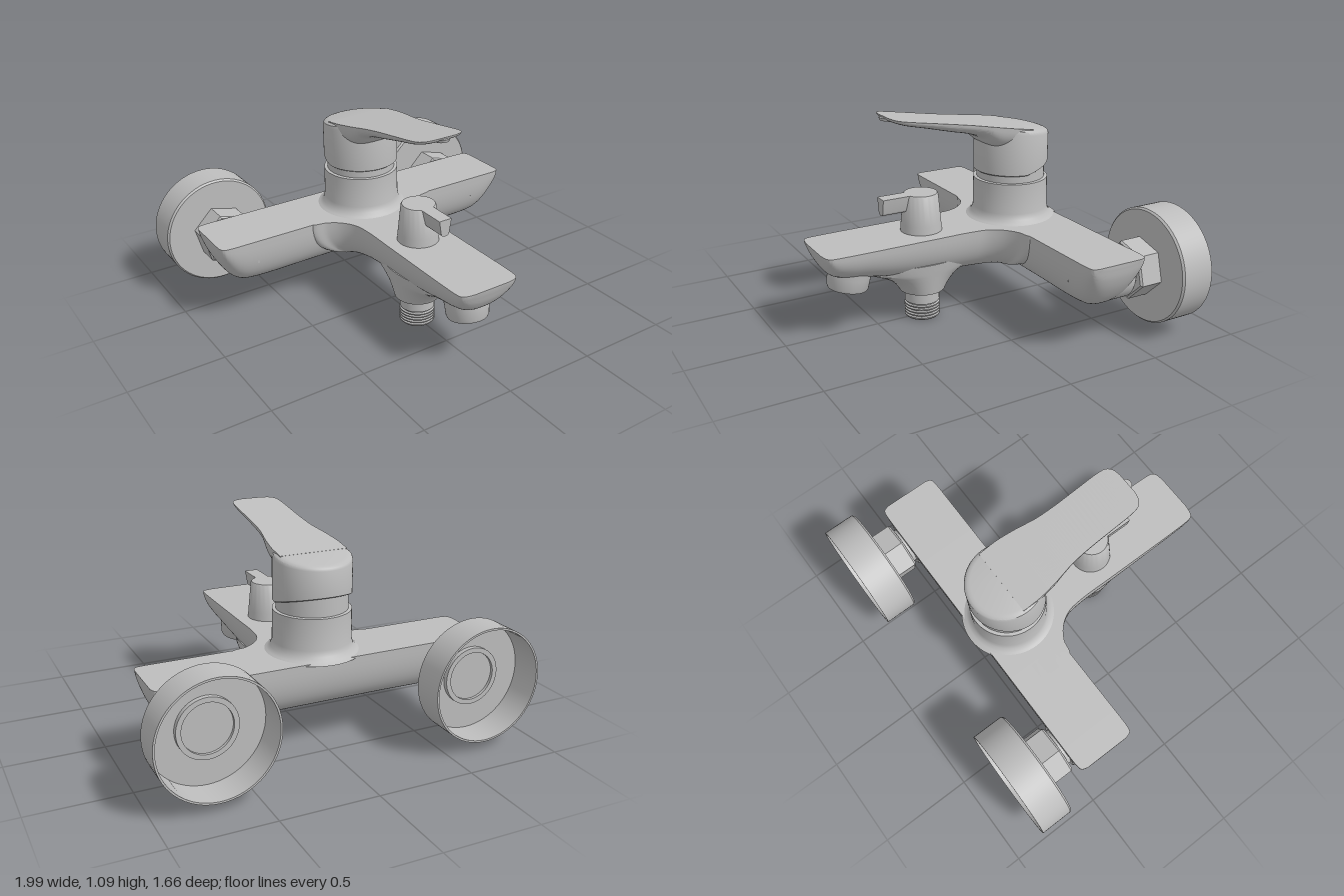
import * as THREE from 'three';
import { toCreasedNormals } from 'three/addons/utils/BufferGeometryUtils.js';

const chrome = new THREE.MeshStandardMaterial({ color: 0xbdbdbd });
chrome.name = 'satin grey metal';

// Turn a closed geometry's faces outward and keep only its sharp edges creased.
function solid(geometry, crease = 0.6) {
  const g = geometry.index ? geometry.toNonIndexed() : geometry;
  const p = g.attributes.position;
  const [a, b, c] = [new THREE.Vector3(), new THREE.Vector3(), new THREE.Vector3()];
  let volume = 0;
  for (let i = 0; i < p.count; i += 3) {
    a.fromBufferAttribute(p, i);
    b.fromBufferAttribute(p, i + 1);
    c.fromBufferAttribute(p, i + 2);
    volume += a.dot(b.cross(c));
  }
  if (volume < 0) {
    for (let i = 0; i < p.count; i += 3) {
      b.fromBufferAttribute(p, i + 1);
      c.fromBufferAttribute(p, i + 2);
      p.setXYZ(i + 1, c.x, c.y, c.z);
      p.setXYZ(i + 2, b.x, b.y, b.z);
    }
  }
  return toCreasedNormals(g, crease);
}

function lathe(profile, segments = 48) {
  return new THREE.LatheGeometry(profile.map(([r, y]) => new THREE.Vector2(r, y)), segments);
}

// Loft flat-topped, round-bellied sections. Keys are [station, half width, bottom y].
function loft(keys, topAt, exponent, place, steps = 60, n = 28) {
  const curve = new THREE.CatmullRomCurve3(keys.map((k) => new THREE.Vector3(...k)));
  const stations = curve.getPoints(steps);
  const pos = [], idx = [], ring = n + 1;
  for (const { x: s, y: w, z: bottom } of stations) {
    const top = topAt(s);
    for (let i = 0; i <= n; i++) {
      const t = Math.PI * i / n, c = Math.cos(t);
      const u = Math.sign(c) * Math.pow(Math.abs(c), 2 / exponent) * w;
      const v = top - (top - bottom) * Math.pow(Math.max(0, Math.sin(t)), 2 / exponent);
      pos.push(...place(s, u, v));
    }
  }
  for (let j = 0; j < steps; j++) {
    for (let i = 0; i < ring; i++) {
      const k = (i + 1) % ring, a = j * ring, b = a + ring;
      idx.push(a + i, a + k, b + k, a + i, b + k, b + i);
    }
  }
  for (let i = 1; i < n; i++) {
    const e = steps * ring;
    idx.push(0, i + 1, i, e, e + i, e + i + 1);
  }
  const g = new THREE.BufferGeometry();
  g.setAttribute('position', new THREE.Float32BufferAttribute(pos, 3));
  g.setIndex(idx);
  return solid(g, 0.7);
}

export function createModel() {
  const model = new THREE.Group();
  const add = (name, geometry, x = 0, y = 0, z = 0, parent = model) => {
    const mesh = new THREE.Mesh(geometry, chrome);
    mesh.name = name;
    mesh.position.set(x, y, z);
    parent.add(mesh);
    return mesh;
  };
  const flatTop = () => 0.478;

  // Crossbar with upswept ends
  const end = [[0.68, 0.163, 0.213], [0.75, 0.163, 0.225], [0.8, 0.163, 0.258],
    [0.85, 0.161, 0.33], [0.878, 0.153, 0.4], [0.89, 0.125, 0.465]];
  const barKeys = [...end.map(([x, w, b]) => [-x, w, b]).reverse(),
    [-0.3, 0.163, 0.213], [0.3, 0.163, 0.213], ...end];
  add('crossbar', loft(barKeys, flatTop, 2.5, (s, u, v) => [s, v, u - 0.347], 80));

  // Spout, flaring where it joins the crossbar
  add('spout', loft([
    [-0.38, 0.4, 0.225], [-0.19, 0.38, 0.235], [-0.165, 0.3, 0.236], [-0.12, 0.235, 0.236],
    [-0.05, 0.19, 0.235], [0.04, 0.176, 0.238], [0.24, 0.175, 0.25], [0.4, 0.175, 0.268],
    [0.5, 0.175, 0.283], [0.6, 0.175, 0.303], [0.7, 0.174, 0.32], [0.77, 0.172, 0.347],
    [0.805, 0.166, 0.395], [0.822, 0.145, 0.44], [0.83, 0.1, 0.468],
  ], flatTop, 2.3, (s, u, v) => [u, v, s], 90));

  // Flared boss under the spout, kept within the spout's width
  const boss = lathe([[0, 0.155], [0.12, 0.155], [0.13, 0.172], [0.155, 0.205], [0.19, 0.235],
    [0.24, 0.262], [0.3, 0.285], [0.3, 0.33], [0, 0.33]]);
  const bp = boss.attributes.position;
  for (let i = 0; i < bp.count; i++) {
    const y = bp.getY(i), r = Math.hypot(bp.getX(i), bp.getZ(i));
    const limit = 0.12 + 0.17 * (y - 0.155);
    if (r > limit) bp.setX(i, bp.getX(i) * limit / r);
  }
  add('outletBoss', solid(boss), 0, 0, 0.24);

  // Hose outlet with ridged thread
  const thread = [[0, 0], [0.085, 0]];
  for (let i = 0; i < 5; i++) {
    const y = 0.008 + i * 0.016;
    thread.push([0.093, y], [0.093, y + 0.006], [0.083, y + 0.009], [0.083, y + 0.013]);
  }
  thread.push([0.08, 0.088], [0.091, 0.09], [0.091, 0.16], [0, 0.16]);
  add('hoseOutlet', solid(lathe(thread, 36)), 0, 0, 0.24);

  // Tilted aerator under the spout tip
  const aerator = add('aerator', solid(lathe([[0, -0.04], [0.085, -0.04], [0.088, -0.048],
    [0.1, -0.048], [0.106, -0.035], [0.11, 0.02], [0.115, 0.06], [0, 0.06]])), 0, 0.29, 0.653);
  aerator.rotation.x = -0.17;

  // Diverter knob with its small tongue
  const diverter = new THREE.Group();
  diverter.name = 'diverter';
  model.add(diverter);
  add('diverterKnob', solid(lathe([[0, 0.46], [0.109, 0.46], [0.104, 0.52], [0.09, 0.67],
    [0.085, 0.677], [0, 0.677]])), 0, 0, 0.24, diverter);
  const tongue = new THREE.Shape();
  tongue.moveTo(-0.036, 0.677);
  tongue.lineTo(-0.024, 0.605);
  tongue.quadraticCurveTo(-0.02, 0.588, 0, 0.588);
  tongue.quadraticCurveTo(0.02, 0.588, 0.024, 0.605);
  tongue.lineTo(0.036, 0.677);
  add('diverterTongue', solid(new THREE.ExtrudeGeometry(tongue, { depth: 0.205, bevelEnabled: false })),
    0, 0, 0.26, diverter);

  // Cartridge column with a fillet at its foot and a narrower neck
  add('column', solid(lathe([[0, 0.44], [0.25, 0.47], [0.225, 0.484], [0.208, 0.5], [0.199, 0.53],
    [0.197, 0.69], [0.18, 0.692], [0.178, 0.8], [0, 0.8]], 64)), 0, 0, -0.3);

  // Handle: a round cap with sloping top and bottom, running into a flat lever
  const handleTop = (z) => 0.942 + (z + 0.5) * 0.163;
  const cap = lathe([[0, 0], [0.19, 0], [0.197, 0.02], [0.197, 0.87], [0.192, 0.94],
    [0.18, 0.98], [0.165, 0.997], [0, 0.997]], 64);
  // Extra rings let the underside rise only at the back
  const cp = cap.attributes.position;
  for (let i = 0; i < cp.count; i++) {
    const z = cp.getZ(i) - 0.3, t = cp.getY(i);
    const low = 0.732 + Math.max(0, -0.28 - z) * 0.27;
    cp.setXYZ(i, cp.getX(i), low + (handleTop(z) - low) * t, z);
  }
  add('handleCap', solid(cap));
  add('handleLever', loft([
    [-0.32, 0.18, 0.86], [-0.22, 0.18, 0.86], [-0.15, 0.172, 0.87], [-0.105, 0.165, 0.9],
    [-0.07, 0.158, 0.935], [0, 0.145, 0.962], [0.1, 0.138, 0.985], [0.25, 0.136, 1.023],
    [0.36, 0.134, 1.05], [0.405, 0.125, 1.066], [0.428, 0.1, 1.077], [0.438, 0.06, 1.085],
  ], handleTop, 2.6, (s, u, v) => [u, v, s], 70));
  const tab = add('leverTab', solid(new THREE.CylinderGeometry(0.036, 0.03, 0.014, 20)), 0, 1.078, 0.424);
  tab.rotation.x = -0.163;

  // Wall connections, mirrored left and right
  const socket = solid(lathe([[0, -0.505], [0.12, -0.505], [0.126, -0.495], [0.126, -0.33], [0, -0.33]])
    .rotateX(Math.PI / 2));
  const collar = solid(new THREE.CylinderGeometry(0.1, 0.1, 0.06, 36).rotateX(Math.PI / 2));
  const nut = solid(lathe([[0, -0.65], [0.148, -0.65], [0.148, -0.535], [0.138, -0.525], [0, -0.525]], 6)
    .rotateY(Math.PI / 12).rotateX(Math.PI / 2), 0.2);
  // Open cup against the wall
  const rosette = solid(lathe([[0, -0.665], [0.287, -0.665], [0.287, -0.83], [0.297, -0.83],
    [0.297, -0.66], [0.288, -0.65], [0, -0.65]], 64).rotateX(Math.PI / 2));
  const pipeEnd = solid(lathe([[0, -0.675], [0.125, -0.675], [0.125, -0.69], [0.15, -0.69],
    [0.15, -0.655], [0, -0.655]]).rotateX(Math.PI / 2));
  for (const [side, x] of [['left', 0.7], ['right', -0.7]]) {
    const union = new THREE.Group();
    union.name = side + 'WallUnion';
    union.position.set(x, 0.342, 0);
    model.add(union);
    add('socket', socket, 0, 0, 0, union);
    add('collar', collar, 0, 0, -0.52, union);
    add('nut', nut, 0, 0, 0, union);
    add('rosette', rosette, 0, 0, 0, union);
    add('pipeEnd', pipeEnd, 0, 0, 0, union);
    // Small raised marker on the front of the crossbar
    add('marker', new THREE.BoxGeometry(0.006, 0.045, 0.008), -Math.sign(x) * 0.01, 0.028, -0.197, union);
  }
  return model;
}
